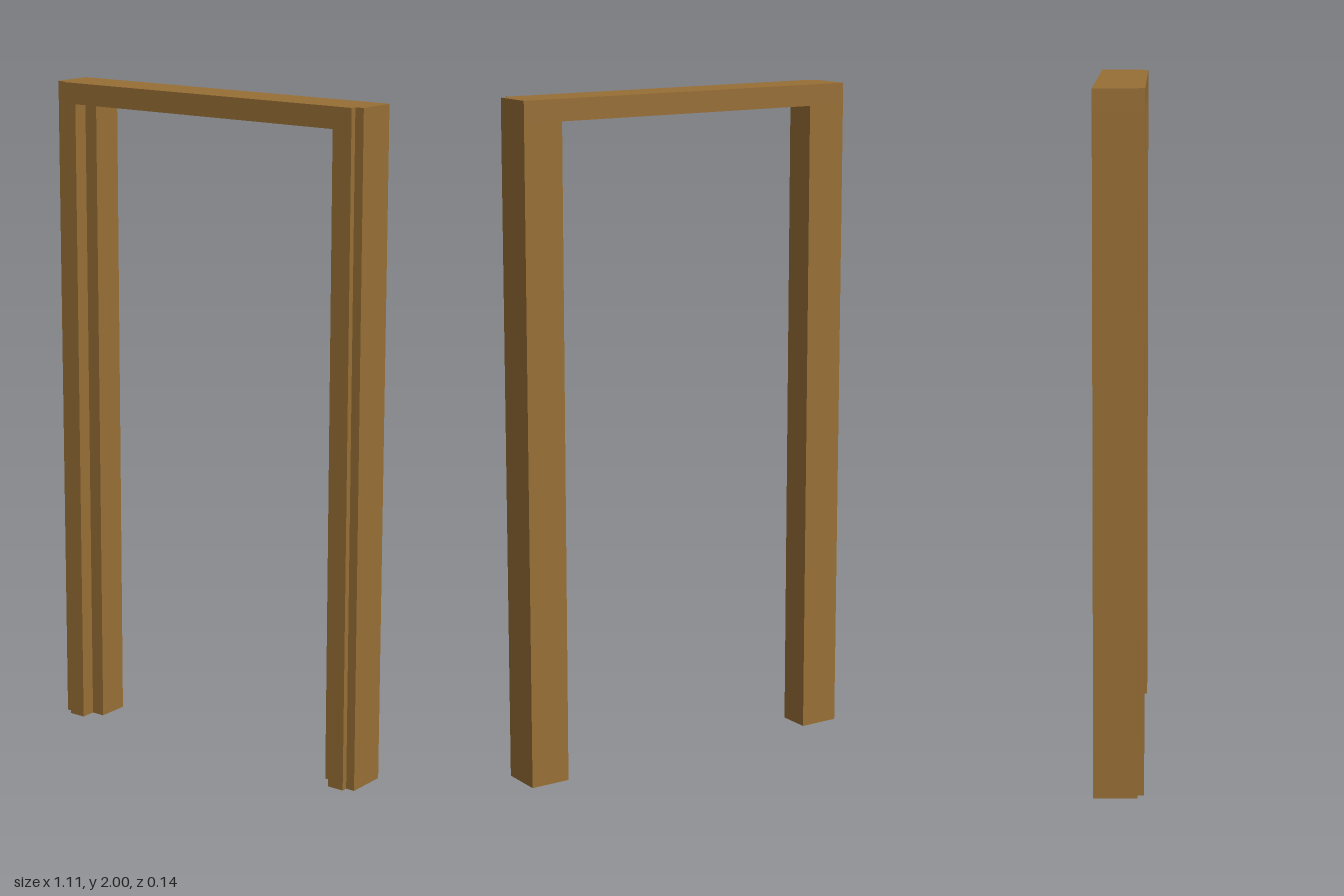
import * as THREE from 'three';

const HEIGHT = 2, HEAD = 0.063;
const OUTER = 0.554, INNER = 0.431;            // jamb width limits in x
const BEAD_OUT = 0.526, BEAD_IN = 0.473;       // raised front bead in x
const BACK = -0.072, REBATE = 0.026, STEP = 0.054, FRONT = 0.072; // z levels

// Extrude a plan outline of [x, z] points upwards from y0 to y1
function extrudePlan(points, y0, y1) {
  const shape = new THREE.Shape(points.map(([x, z]) => new THREE.Vector2(x, -z)));
  const geometry = new THREE.ExtrudeGeometry(shape, { depth: y1 - y0, bevelEnabled: false });
  geometry.rotateX(-Math.PI / 2);
  geometry.translate(0, y0, 0);
  return geometry;
}

export function createModel() {
  const group = new THREE.Group();
  group.name = 'doorFrame';
  const wood = new THREE.MeshStandardMaterial({ color: 0x986f36 });
  wood.name = 'brown wood';

  const add = (name, points, y0, y1) => {
    const mesh = new THREE.Mesh(extrudePlan(points, y0, y1), wood);
    mesh.name = name;
    group.add(mesh);
  };

  // Jambs: stepped on the outside, with a door rebate on the inside
  for (const [name, s] of [['leftJamb', 1], ['rightJamb', -1]]) {
    const profile = [
      [INNER, BACK], [OUTER, BACK], [OUTER, STEP], [BEAD_OUT, STEP],
      [BEAD_OUT, FRONT], [BEAD_IN, FRONT], [BEAD_IN, REBATE], [INNER, REBATE],
    ];
    add(name, profile.map(([x, z]) => [s * x, z]), 0, HEIGHT - HEAD);
  }

  // Head: full-depth bar across both jambs, stepped at the front corners
  add('head', [
    [-OUTER, BACK], [OUTER, BACK], [OUTER, STEP], [BEAD_OUT, STEP],
    [BEAD_OUT, FRONT], [-BEAD_OUT, FRONT], [-BEAD_OUT, STEP], [-OUTER, STEP],
  ], HEIGHT - HEAD, HEIGHT);

  return group;
}
